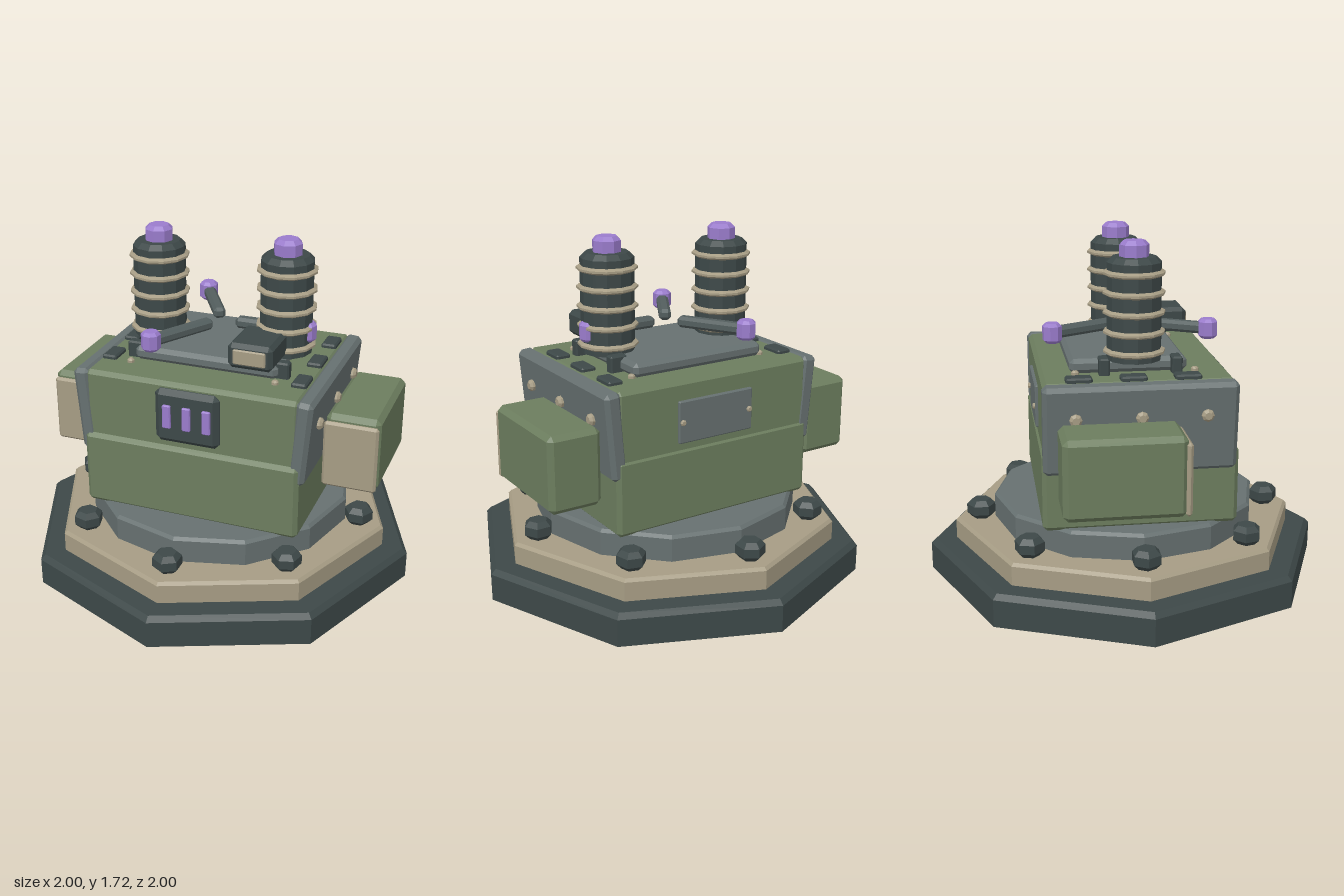
import * as THREE from 'three';
import { ConvexGeometry } from 'three/addons/geometries/ConvexGeometry.js';

const mat = (name, color) => {
  const m = new THREE.MeshStandardMaterial({ color });
  m.name = name;
  return m;
};

// Box whose edges are all cut by a flat chamfer c
function chamferBox(w, h, d, c = 0.015) {
  const pts = [];
  for (const x of [-1, 1]) for (const y of [-1, 1]) for (const z of [-1, 1]) {
    const X = w / 2, Y = h / 2, Z = d / 2;
    pts.push(new THREE.Vector3(x * X, y * (Y - c), z * (Z - c)));
    pts.push(new THREE.Vector3(x * (X - c), y * Y, z * (Z - c)));
    pts.push(new THREE.Vector3(x * (X - c), y * (Y - c), z * Z));
  }
  return new ConvexGeometry(pts);
}

// Faceted turned shape from [radius, y] pairs, bottom to top
function turned(profile, sides) {
  const g = new THREE.LatheGeometry(profile.map(p => new THREE.Vector2(...p)), sides).toNonIndexed();
  g.computeVertexNormals();
  return g;
}

// Closed faceted disc with chamfered rims
const disc = (r, y0, y1, sides, top = 0.015, bottom = 0) => turned([
  [0, y0], [r - bottom, y0], [r, y0 + bottom], [r, y1 - top], [r - top, y1], [0, y1],
], sides);

export function createModel() {
  const dark = mat('dark slate', 0x3d4848);
  const slate = mat('mid slate', 0x535e5e);
  const grey = mat('grey', 0x667070);
  const green = mat('olive green', 0x6c7d5e);
  const beige = mat('beige', 0xa69c84);
  const purple = mat('purple', 0x9a7ccc);

  const model = new THREE.Group();
  const add = (name, geo, material, x = 0, y = 0, z = 0, parent = model) => {
    const m = new THREE.Mesh(geo, material);
    m.name = name;
    m.position.set(x, y, z);
    parent.add(m);
    return m;
  };

  // Stepped pedestal
  add('basePlate', disc(1, 0, 0.16, 8, 0.025), dark);
  add('baseRing', disc(0.87, 0.16, 0.27, 8), beige);
  add('turntable', disc(0.67, 0.27, 0.4, 12), grey);

  // Bolts around the ring
  const boltGeo = disc(0.072, 0, 0.095, 6, 0.025, 0.025);
  for (let i = 0; i < 8; i++) {
    const a = i * Math.PI / 4;
    add('bolt', boltGeo, dark, Math.sin(a) * 0.74, 0.27, Math.cos(a) * 0.74).rotation.y = a;
  }

  // Main body
  add('lowerBody', chamferBox(1.1, 0.38, 0.93, 0.02), green, 0, 0.58, 0.005);
  add('upperBody', chamferBox(1.08, 0.42, 0.9, 0.02), green, 0, 0.89, 0);

  // Leaning side plates, rivets, and side boxes
  const rivetGeo = disc(0.03, 0, 0.025, 8, 0.012);
  for (const s of [1, -1]) {
    const plate = add('sidePlate', chamferBox(0.085, 0.43, 0.91, 0.02), grey, s * 0.545, 0.885, 0);
    plate.rotation.z = -s * 0.085;
    for (const z of [-0.305, 0, 0.305]) {
      add('sideRivet', rivetGeo, beige, s * 0.592, 0.945, z).rotation.z = -s * Math.PI / 2;
    }
    add('sideBox', chamferBox(0.27, 0.38, 0.56, 0.025), green, s * 0.725, 0.74, -0.11);
    add('sideBoxFace', chamferBox(0.27, 0.345, 0.03, 0.012), beige, s * 0.72, 0.725, 0.175);
    // Pads along the roof edges
    for (const z of [-0.28, -0.025, 0.23]) {
      add('roofPad', chamferBox(0.075, 0.03, 0.125, 0.008), dark, s * 0.485, 1.105, z);
    }
    // Clips holding the roof plate
    for (const z of [-0.15, 0.195]) {
      add('roofClip', chamferBox(0.09, 0.09, 0.05, 0.008), dark, s * 0.37, 1.135, z);
    }
  }

  // Front control panel with three lit slots
  add('controlPanel', chamferBox(0.325, 0.275, 0.06, 0.025), dark, -0.005, 0.935, 0.45);
  for (const x of [-0.1, 0, 0.1]) {
    add('litSlot', chamferBox(0.042, 0.12, 0.02, 0.005), purple, x, 0.94, 0.483);
  }

  // Rear access plate
  add('rearPlate', chamferBox(0.42, 0.21, 0.025, 0.006), grey, 0.01, 0.9, -0.452);
  for (const x of [-0.18, 0.2]) {
    add('rearRivet', disc(0.015, 0, 0.012, 8, 0.005), beige, x, 0.9, -0.464).rotation.x = -Math.PI / 2;
  }

  // Roof plate in two steps, with corner rivets
  add('roofPlate', chamferBox(0.73, 0.07, 0.56, 0.02), grey, 0, 1.135, -0.03);
  for (const x of [-0.37, 0.37]) for (const z of [-0.285, 0.285]) {
    add('roofRivet', disc(0.018, 0, 0.02, 8, 0.008), beige, x, 1.1, z);
  }

  // Ribbed coil towers
  for (const x of [-0.33, 0.33]) {
    const coil = new THREE.Group();
    coil.name = 'coilTower';
    coil.position.x = x;
    model.add(coil);
    add('coilCore', disc(0.13, 1.16, 1.645, 12, 0.025), dark, 0, 0, 0, coil);
    const rib = turned([[0.125, -0.018], [0.148, -0.005], [0.148, 0.005], [0.125, 0.018]], 12);
    for (let i = 0; i < 5; i++) add('coilRib', rib, beige, 0, 1.2 + i * 0.0925, 0, coil);
    add('coilCap', disc(0.07, 1.64, 1.72, 8, 0.02), purple, 0, 0, 0, coil);
  }

  // Three levers with knobs, spread evenly around the centre
  for (let i = 0; i < 3; i++) {
    const lever = new THREE.Group();
    lever.name = 'lever';
    lever.rotation.y = i * Math.PI * 2 / 3;
    model.add(lever);
    add('leverArm', chamferBox(0.35, 0.055, 0.06, 0.015), slate, 0.25, 1.27, 0, lever);
    add('leverKnob', disc(0.048, 1.222, 1.318, 8, 0.015, 0.015), purple, 0.435, 0, 0, lever);
  }

  // Small roof box with a pale face
  add('roofBox', chamferBox(0.22, 0.125, 0.265, 0.02), dark, 0.26, 1.235, 0.21);
  add('roofBoxFace', chamferBox(0.16, 0.075, 0.02, 0.006), beige, 0.26, 1.235, 0.34);

  return model;
}
